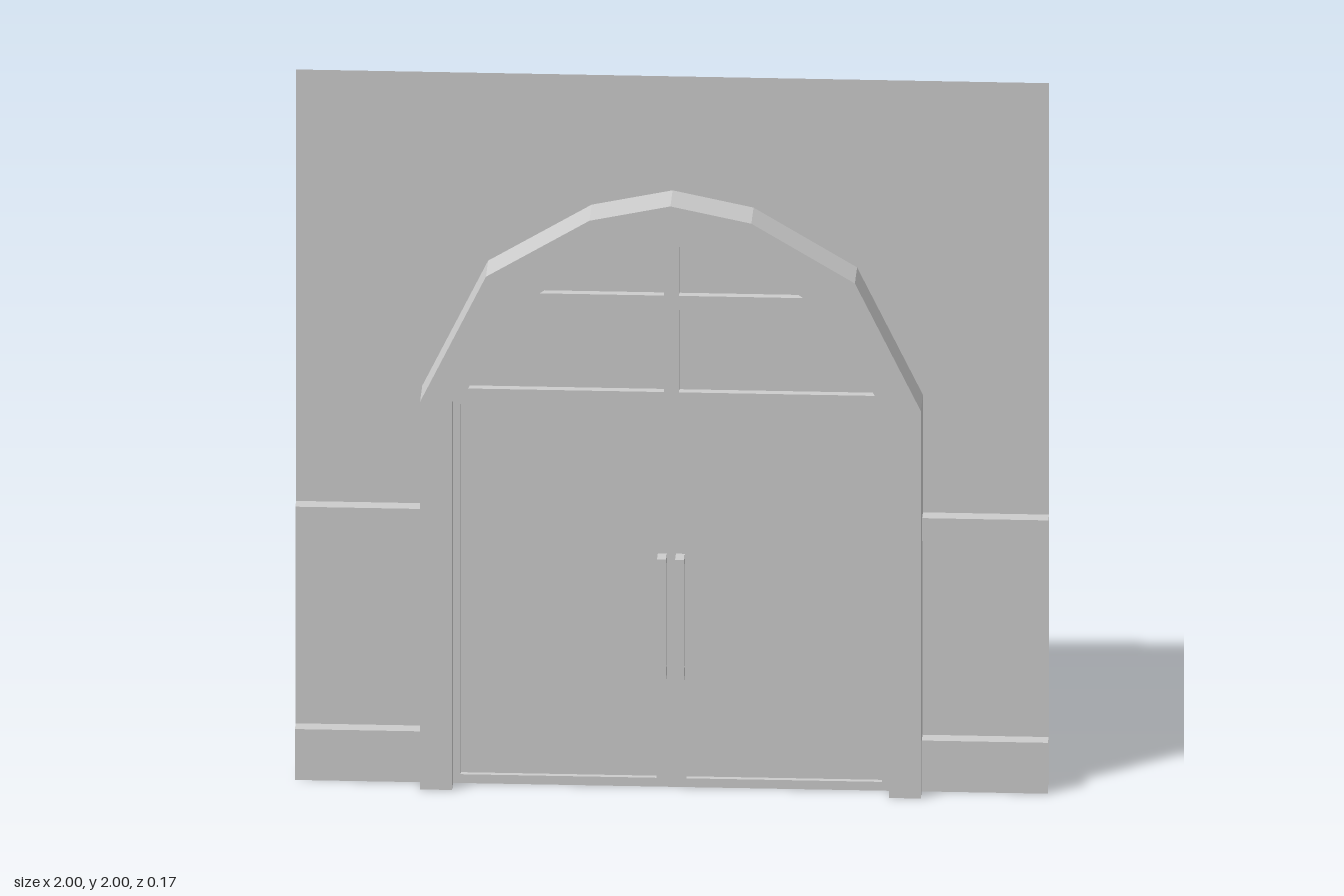
import * as THREE from 'three';

const material = new THREE.MeshStandardMaterial({ color: 0xcccccc, flatShading: true });
const sheetMaterial = new THREE.MeshStandardMaterial({ color: 0xcccccc, flatShading: true, side: THREE.DoubleSide });

// Right halves of the arch outlines, from the floor to the crown
const OUTER = [[0.665, 0], [0.665, 1.105], [0.49, 1.465], [0.215, 1.63], [0, 1.675]];
const INNER = [[0.58, 0], [0.58, 1.105], [0.435, 1.385], [0.195, 1.53], [0, 1.57]];

const flip = (points) => points.map(([x, y]) => [-x, y]);
const vectors = (points) => points.map(([x, y]) => new THREE.Vector2(x, y));
const fullArch = (half) => [...half, ...flip(half.slice(0, -1)).reverse()];

function addMesh(parent, name, geometry, mat = material) {
  const mesh = new THREE.Mesh(geometry, mat);
  mesh.name = name;
  parent.add(mesh);
  return mesh;
}

// Extrudes a flat outline between two depths
function slab(shape, back, front) {
  return new THREE.ExtrudeGeometry(shape, { depth: front - back, bevelEnabled: false }).translate(0, 0, back);
}

function box(x0, x1, y0, y1, z0, z1) {
  return new THREE.BoxGeometry(x1 - x0, y1 - y0, z1 - z0)
    .translate((x0 + x1) / 2, (y0 + y1) / 2, (z0 + z1) / 2);
}

// Open strip: a (y, z) profile swept along x, without end caps
function strip(profile, x0, x1) {
  const positions = [];
  for (let i = 0; i < profile.length - 1; i++) {
    const [ya, za] = profile[i];
    const [yb, zb] = profile[i + 1];
    positions.push(x0, ya, za, x1, ya, za, x1, yb, zb);
    positions.push(x0, ya, za, x1, yb, zb, x0, yb, zb);
  }
  const geometry = new THREE.BufferGeometry();
  geometry.setAttribute('position', new THREE.Float32BufferAttribute(positions, 3));
  geometry.computeVertexNormals();
  return geometry;
}

export function createModel() {
  const group = new THREE.Group();
  group.name = 'archedDoorway';

  // Thin wall with the arch cut out
  const wallShape = new THREE.Shape(vectors([
    [1, 0], [1, 2], [-1, 2], [-1, 0], ...fullArch(OUTER).reverse(),
  ]));
  addMesh(group, 'wall', new THREE.ShapeGeometry(wallShape).translate(0, 0, -0.03), sheetMaterial);

  // Arched surround
  const surround = new THREE.Shape(vectors([...fullArch(OUTER), ...fullArch(INNER).reverse()]));
  addMesh(group, 'archSurround', slab(surround, -0.04, 0.087));

  // Door body, then the raised rails and mullions in front of it
  const door = new THREE.Group();
  door.name = 'door';
  group.add(door);
  addMesh(door, 'doorBody', slab(new THREE.Shape(vectors(fullArch(INNER))), -0.087, 0.012));

  const openings = [
    [[0.04, 0.025], [0.56, 0.025], [0.56, 1.08], [0.04, 1.08]],
    [[0.02, 1.125], [0.54, 1.125], [0.42, 1.36], [0.02, 1.36]],
    [[0.02, 1.4], [0.35, 1.4], [0.19, 1.51], [0.02, 1.54]],
  ];
  const doorFrame = new THREE.Shape(vectors(fullArch(INNER)));
  for (const opening of openings) {
    doorFrame.holes.push(new THREE.Path(vectors(opening)), new THREE.Path(vectors(flip(opening))));
  }
  addMesh(door, 'doorFrame', slab(doorFrame, 0.012, 0.035));

  for (const side of [-1, 1]) {
    const sideName = side > 0 ? 'left' : 'right';

    // Shallow panel in the lower opening
    addMesh(door, sideName + 'DoorPanel', box(-0.26, 0.26, 0.025, 1.08, 0.005, 0.02))
      .position.x = side * 0.3;

    // Pull handle: a bar on two posts
    const handle = new THREE.Group();
    handle.name = sideName + 'Handle';
    handle.position.x = side * 0.024;
    door.add(handle);
    addMesh(handle, 'handleBar', box(-0.012, 0.012, 0.32, 0.665, 0.06, 0.08));
    for (const y of [0.32, 0.64]) {
      addMesh(handle, 'handlePost', box(-0.012, 0.012, y, y + 0.025, 0.03, 0.06));
    }

    // Wainscot: baseboard, panel and chair rail in one profile
    const profile = [
      [0, 0.035], [0.145, 0.035], [0.145, -0.007], [0.705, -0.007],
      [0.705, 0.012], [0.77, 0.012], [0.77, -0.03],
    ];
    addMesh(group, sideName + 'Wainscot',
      side > 0 ? strip(profile, 0.665, 1) : strip(profile, -1, -0.665), sheetMaterial);
  }

  return group;
}
